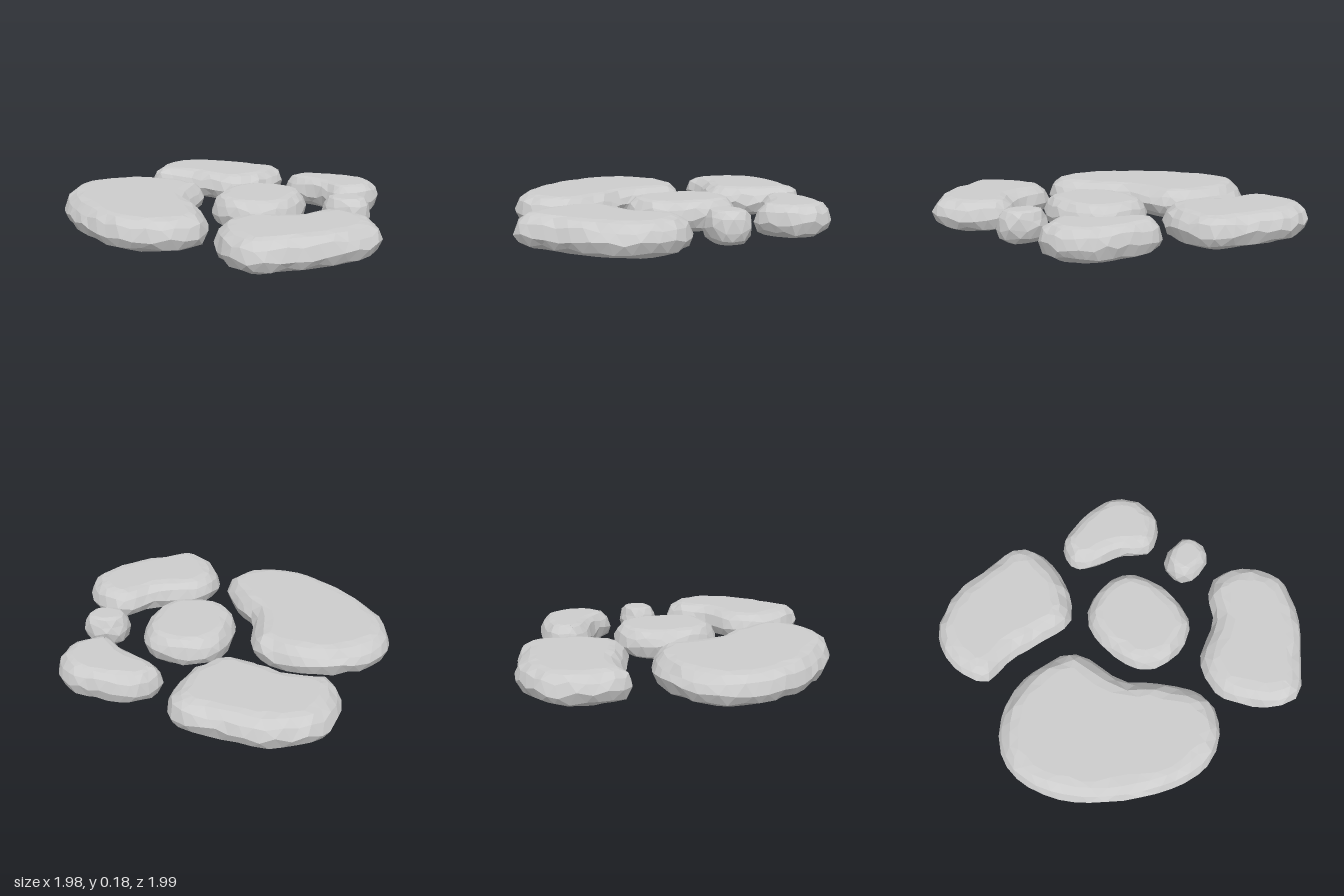
import * as THREE from 'three';

// Outline control points of a squarish oval, clockwise seen from above
function oval(cx, cz, rx, rz) {
  const soft = (v) => Math.sign(v) * Math.abs(v) ** 0.8;
  return Array.from({ length: 12 }, (_, i) => {
    const a = ((i + 0.5) / 12) * Math.PI * 2;
    return [cx + rx * soft(Math.sin(a)), cz - rz * soft(Math.cos(a))];
  });
}

// Edge profile from underside to top: [inset, height, height jitter]
const PROFILE = [
  [.085, .004, 0], [.022, .034, .012], [0, .085, .018], [.025, .138, .012], [.07, .172, .003], [.115, .18, 0],
];

function seeded(seed) {
  let s = seed;
  return () => (s = (s * 16807) % 2147483647) / 2147483647;
}

function stoneGeometry(outline, count, inset, seed) {
  const rand = seeded(seed);
  const curve = new THREE.CatmullRomCurve3(outline.map(([x, z]) => new THREE.Vector3(x, 0, z)), true);

  // Inset rings, each shifted half a step so the facets interlock
  const rings = PROFILE.map(([d, y, jitter], r) => Array.from({ length: count }, (_, i) => {
    const u = ((i + r * 0.5 + (rand() - 0.5) * 0.35 + count) / count) % 1;
    const p = curve.getPointAt(u);
    const t = curve.getTangentAt(u);
    const k = d * inset * (1 + (rand() - 0.5) * 0.25);
    return new THREE.Vector3(p.x - t.z * k, y + (rand() - 0.5) * 2 * jitter, p.z + t.x * k);
  }));

  const pos = [];
  const tri = (...corners) => corners.forEach((p) => pos.push(p.x, p.y, p.z));

  // Rounded faceted side
  for (let r = 0; r < rings.length - 1; r++) {
    const low = rings[r], up = rings[r + 1];
    for (let i = 0; i < count; i++) {
      const n = (i + 1) % count;
      tri(low[i], up[i], low[n]);
      tri(up[i], up[n], low[n]);
    }
  }

  // Flat underside and top
  const cap = (ring, faceUp) => {
    const flat = ring.map((p) => new THREE.Vector2(p.x, p.z));
    for (const [a, b, c] of THREE.ShapeUtils.triangulateShape(flat, [])) {
      const area = THREE.ShapeUtils.area([flat[a], flat[b], flat[c]]);
      if ((area < 0) === faceUp) tri(ring[a], ring[b], ring[c]);
      else tri(ring[a], ring[c], ring[b]);
    }
  };
  cap(rings[0], false);
  cap(rings[rings.length - 1], true);

  const geometry = new THREE.BufferGeometry();
  geometry.setAttribute('position', new THREE.Float32BufferAttribute(pos, 3));
  geometry.computeVertexNormals();
  return geometry;
}

export function createModel() {
  const group = new THREE.Group();
  group.name = 'steppingStones';
  const material = new THREE.MeshStandardMaterial({ color: 0xcccccc, flatShading: true });

  const addStone = (name, count, inset, outline) => {
    const seed = 101 + group.children.length * 977;
    const mesh = new THREE.Mesh(stoneGeometry(outline, count, inset, seed), material);
    mesh.name = name;
    group.add(mesh);
  };

  // Oval stones
  addStone('centreStone', 22, 0.8, oval(.19, -.03, .268, .315));
  addStone('smallStone', 11, 0.55, oval(.702, -.077, .14, .122));

  // Bean-shaped stones, outlined clockwise as [x, z]
  addStone('largeStone', 38, 1, [
    [-.556, -.293], [-.23, -.18], [-.155, .17], [-.045, .3], [.093, .62], [-.05, .805],
    [-.258, .851], [-.6, .69], [-.93, .33], [-.99, .02], [-.864, -.186]]);
  addStone('backStone', 32, 1, [
    [-.4, -1], [-.2, -.97], [.04, -.93], [.115, -.8], [.07, -.52], [-.09, -.34],
    [-.29, -.378], [-.5, -.435], [-.7, -.45], [-.768, -.64], [-.69, -.88]]);
  addStone('backLeftStone', 27, 0.75, [
    [.43, -.766], [.7, -.72], [.81, -.58], [.79, -.39], [.6, -.29],
    [.465, -.41], [.25, -.51], [.194, -.6], [.27, -.735]]);
  addStone('frontLeftStone', 30, 1, [
    [.705, .138], [.9, .225], [.987, .45], [.87, .68], [.667, .86], [.455, .99],
    [.3, .91], [.155, .63], [.24, .42], [.5, .31], [.6, .19]]);
  return group;
}
